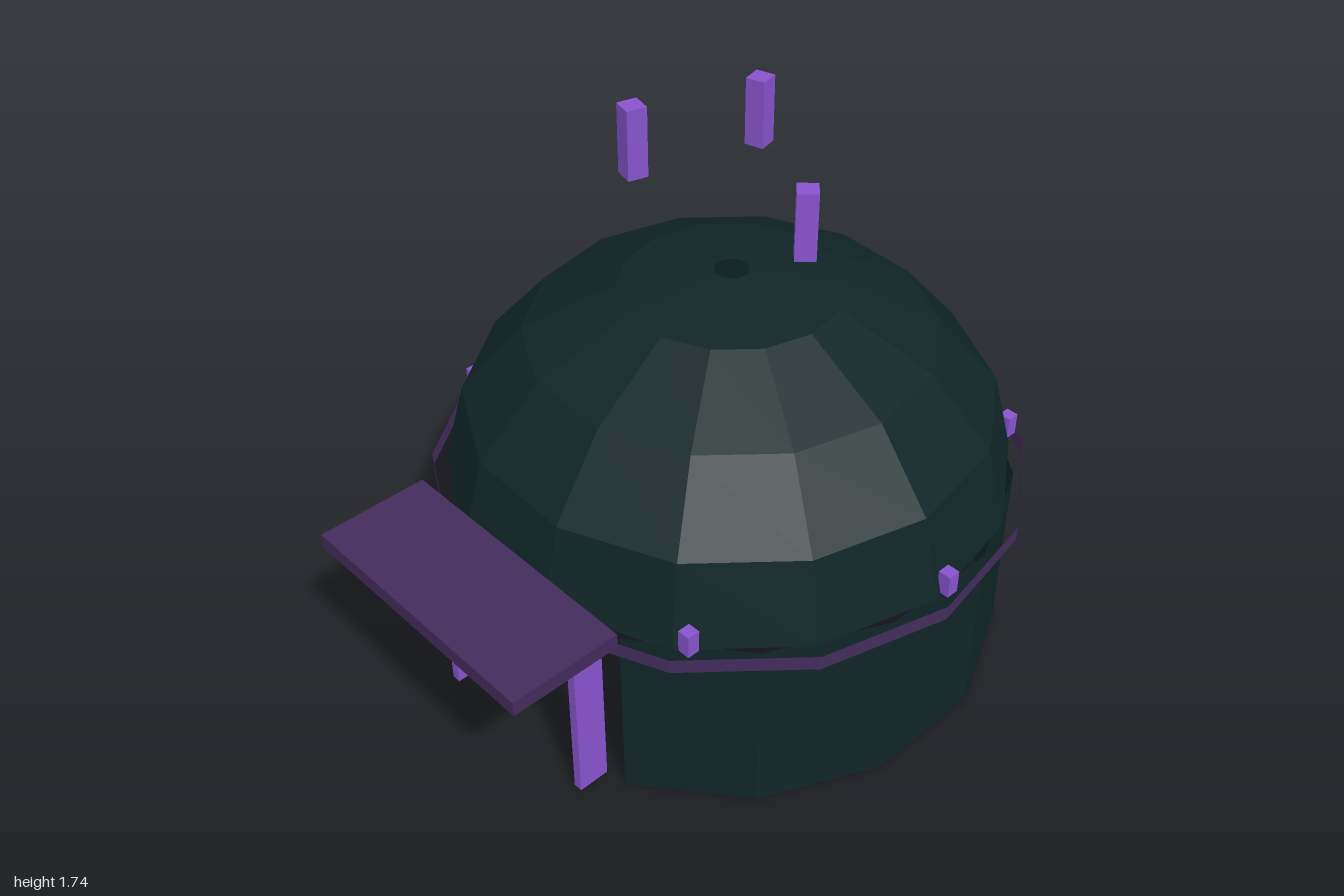
import * as THREE from 'three';

const CZ = -0.136;              // z of the hut's axis
const R = 0.833;                // wall and dome radius
const EAVES = 0.575;            // height where the wall meets the dome
const SIDES = 14;
const TURN = Math.PI / 2 - 0.05; // polygon rotation of dome and band

function material(name, color, extra = {}) {
  const m = new THREE.MeshStandardMaterial({ color, flatShading: true, ...extra });
  m.name = name;
  return m;
}

export function createModel() {
  const shellMat = material('darkTeal', 0x102527, { side: THREE.DoubleSide });
  const trimMat = material('darkPurple', 0x432c5c, { side: THREE.DoubleSide });
  const glowMat = material('brightPurple', 0x8853cd);

  const model = new THREE.Group();
  model.name = 'domedHut';

  function add(name, geometry, mat, x, y, z, parent = model) {
    const mesh = new THREE.Mesh(geometry, mat);
    mesh.name = name;
    mesh.position.set(x, y, z);
    parent.add(mesh);
    return mesh;
  }
  function group(name) {
    const g = new THREE.Group();
    g.name = name;
    model.add(g);
    return g;
  }

  // Round wall, open at the front for the doorway
  const gap = 0.45;
  add('wall', new THREE.CylinderGeometry(R, R, EAVES, 12, 1, true, gap, Math.PI * 2 - 2 * gap),
    shellMat, 0, EAVES / 2, CZ);

  // Faceted dome with a small smoke hole at the top
  const profile = [90, 67.5, 45, 22.5, 3.4].map((deg) => {
    const t = THREE.MathUtils.degToRad(deg);
    return new THREE.Vector2(R * Math.sin(t), 0.636 * Math.cos(t));
  });
  add('dome', new THREE.LatheGeometry(profile, SIDES, TURN), shellMat, 0, EAVES, CZ);

  // Thin band standing just off the wall
  add('band', new THREE.CylinderGeometry(0.876, 0.876, 0.045, SIDES, 1, true, TURN),
    trimMat, 0, 0.557, CZ);

  // Studs around the eaves
  const studs = group('studs');
  for (let i = 0; i < 7; i++) {
    const a = (i / 7) * Math.PI * 2;
    add('stud', new THREE.BoxGeometry(0.038, 0.07, 0.038), glowMat,
      0.833 * Math.cos(a), 0.615, CZ + 0.833 * Math.sin(a), studs);
  }

  // Door frame
  const frame = group('doorFrame');
  for (const s of [-1, 1]) {
    add(s > 0 ? 'leftPost' : 'rightPost', new THREE.BoxGeometry(0.028, 0.588, 0.096), glowMat,
      s * 0.281, 0.294, 0.67, frame);
  }
  add('lintel', new THREE.BoxGeometry(0.534, 0.03, 0.096), glowMat, 0, 0.573, 0.67, frame);

  // Flat awning over the door
  add('awning', new THREE.BoxGeometry(0.83, 0.046, 0.335), trimMat, 0, 0.643, 0.8325);

  // Shards floating above the dome
  const shards = group('floatingShards');
  [1.475, 1.64, 1.56].forEach((y, i) => {
    const a = (i / 3) * Math.PI * 2;
    const shard = add('shard', new THREE.BoxGeometry(0.058, 0.2, 0.058), glowMat,
      0.267 * Math.cos(a), y, CZ + 0.267 * Math.sin(a), shards);
    shard.rotation.y = a + Math.PI / 4;
  });

  return model;
}
